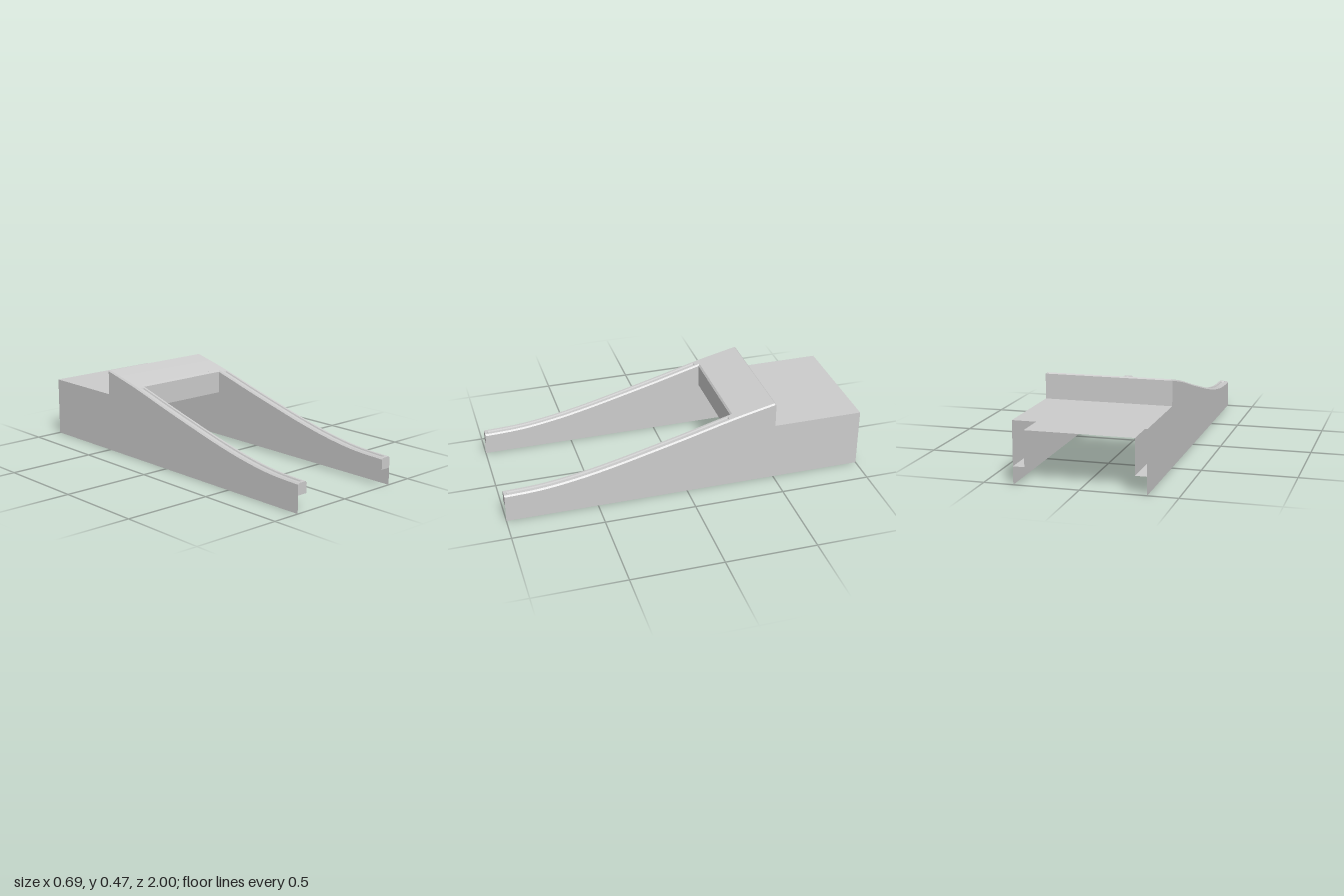
import * as THREE from 'three';
import { toCreasedNormals } from 'three/addons/utils/BufferGeometryUtils.js';

const OUT = 0.343, IN = 0.283;       // outer and inner wall positions
const BEV = 0.008;                   // edge chamfer
const FLOOR = 0.095, CEIL = 0.283;   // underside of rails, tunnel ceiling
const DECK = 0.33;                   // rear platform height
const FRONT = -0.258, STEP = -0.5, BACK = -1;
const GROOVE = 0.007;

// Height of the curved top at z
const curve = new THREE.SplineCurve([
  [-0.5, 0.472], [-0.26, 0.415], [0, 0.343], [0.2, 0.29], [0.4, 0.239],
  [0.6, 0.196], [0.8, 0.167], [1, 0.158],
].map(([z, y]) => new THREE.Vector2(z, y)));
const samples = curve.getPoints(140);
function top(z) {
  for (let i = 1; i < samples.length; i++) {
    const a = samples[i - 1], b = samples[i];
    if (z <= b.x) return a.y + (b.y - a.y) * (z - a.x) / (b.x - a.x);
  }
  return samples[samples.length - 1].y;
}

const material = new THREE.MeshStandardMaterial({ color: 0xcccccc, side: THREE.DoubleSide });

// Thin surface through rows of [x, y, z] points
function sheet(name, rows) {
  const n = rows[0].length, index = [];
  for (let i = 0; i < rows.length - 1; i++) {
    for (let j = 0; j < n - 1; j++) {
      const a = i * n + j, b = a + n;
      index.push(a, b, a + 1, b, b + 1, a + 1);
    }
  }
  let g = new THREE.BufferGeometry();
  g.setAttribute('position', new THREE.Float32BufferAttribute(rows.flat(2), 3));
  g.setIndex(index);
  g = toCreasedNormals(g, 0.3);
  const mesh = new THREE.Mesh(g, material);
  mesh.name = name;
  return mesh;
}

// Evenly spaced z stations from a to b
const stations = (a, b, n) => Array.from({ length: n + 1 }, (_, i) => a + (b - a) * i / n);

function side(s) {
  const group = new THREE.Group();
  group.name = s > 0 ? 'leftSide' : 'rightSide';

  // Outer wall: curved part, then the low part beside the platform
  group.add(sheet('outerWall', stations(1, STEP, 36).map(z => [[s * OUT, 0, z], [s * OUT, top(z) - BEV, z]])));
  group.add(sheet('rearOuterWall', [STEP, BACK].map(z => [[s * OUT, 0, z], [s * OUT, DECK, z]])));

  // Inner wall and rail underside
  group.add(sheet('innerWall', stations(1, FRONT, 30).map(z => [[s * IN, FLOOR, z], [s * IN, top(z) - BEV, z]])));
  group.add(sheet('tunnelWall', [FRONT, BACK].map(z => [[s * IN, FLOOR, z], [s * IN, CEIL, z]])));
  group.add(sheet('railFloor', [1, BACK].map(z => [[s * IN, FLOOR, z], [s * OUT, FLOOR, z]])));

  // Chamfered rail top with a closed-ended groove
  const zs = [1, 0.985, ...stations(0.981, -0.236, 30), -0.24, FRONT - BEV];
  group.add(sheet('railTop', zs.map((z, i) => {
    const t = top(z), g = i > 1 && i < zs.length - 2 ? GROOVE : 0;
    const zi = i === zs.length - 1 ? FRONT : z;   // mitre at the ramp corner
    return [
      [OUT, t - BEV, z], [OUT - BEV, t, z], [0.323, t, z], [0.32, t - g, z],
      [0.306, t - g, z], [0.303, t, z], [IN + BEV, t, z], [IN, top(zi) - BEV, zi],
    ].map(([x, y, w]) => [s * x, y, w]);
  })));

  // Front end of the rail
  const t = top(1);
  group.add(sheet('railEnd', [
    [[s * IN, FLOOR, 1], [s * (IN + BEV), FLOOR, 1], [s * (OUT - BEV), FLOOR, 1], [s * OUT, FLOOR, 1]],
    [[s * IN, t - BEV, 1], [s * (IN + BEV), t, 1], [s * (OUT - BEV), t, 1], [s * OUT, t - BEV, 1]],
  ]));
  return group;
}

// Row across the model: chamfered sides at height t
const across = (t, z) => [[-OUT, t - BEV, z], [-OUT + BEV, t, z], [OUT - BEV, t, z], [OUT, t - BEV, z]];
const pair = (x, y, z) => [[-x, y, z], [x, y, z]];

export function createModel() {
  const model = new THREE.Group();
  model.name = 'ramp';
  model.add(side(1), side(-1));

  // Sloping bridge between the rails
  const ridge = top(STEP);
  model.add(sheet('rampTop', stations(FRONT - BEV, STEP + BEV, 6).map(z => across(top(z), z))));
  model.add(sheet('ridgeChamfer', [
    across(top(STEP + BEV), STEP + BEV),
    [-OUT, -OUT + BEV, OUT - BEV, OUT].map(x => [x, ridge - BEV, STEP]),
  ]));
  model.add(sheet('frontPanel', [
    pair(IN + BEV, top(FRONT - BEV), FRONT - BEV),
    pair(IN, top(FRONT) - BEV, FRONT),
    pair(IN, CEIL, FRONT),
  ]));

  // Step down to the platform, and the tunnel ceiling below it
  model.add(sheet('stepWall', [pair(OUT, ridge - BEV, STEP), pair(OUT, DECK, STEP)]));
  model.add(sheet('rearPlatform', [pair(OUT, DECK, STEP), pair(OUT, DECK, BACK)]));
  model.add(sheet('tunnelCeiling', [pair(IN, CEIL, FRONT), pair(IN, CEIL, BACK)]));
  return model;
}
